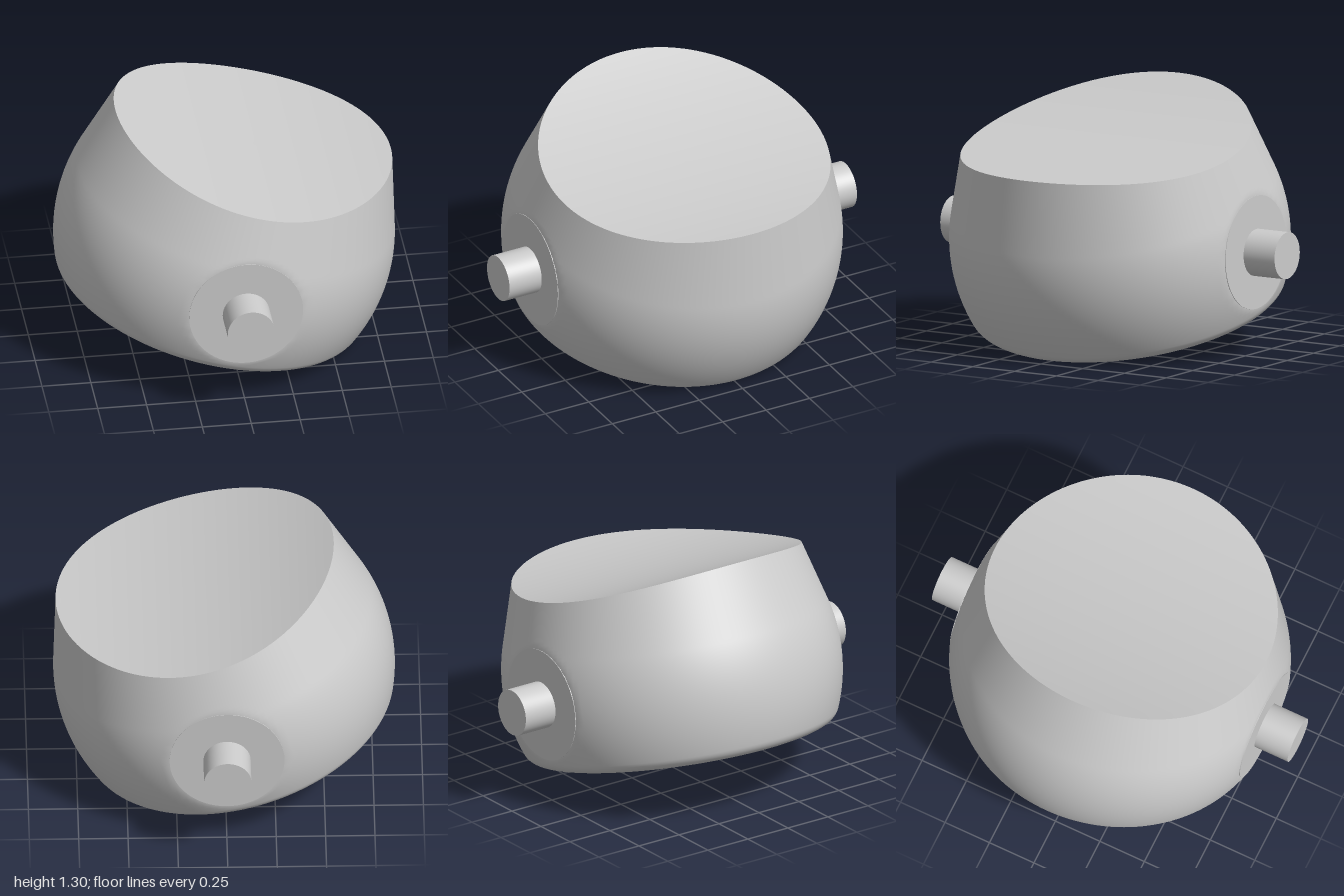
import * as THREE from 'three';

const R = 0.865, CENTRE = new THREE.Vector3(0, 0.54, 0);
const TILT = 0.25;                 // lean of the body axis towards +x
const TAPER = 0.28;                // half angle of the cone above the ball
const BASE = 0.367, FILLET = 0.08; // depth of the flat base and its rounded edge
const FLAT = 0.815;                // z of the flats carrying the pins
const COLS = 160;

const axis = new THREE.Vector3(Math.sin(TILT), Math.cos(TILT), 0);
const side = new THREE.Vector3(Math.cos(TILT), -Math.sin(TILT), 0);

// Point at a given radius and height around the tilted axis
function around(r, h, phi) {
  const p = CENTRE.clone().addScaledVector(axis, h).addScaledVector(side, r * Math.cos(phi));
  p.z += r * Math.sin(phi);
  return p;
}

// Height of the hollow cylindrical cut across the top
const cutY = (x) => 0.955 + 3.015 - Math.sqrt(3.015 ** 2 - (x - 0.85) ** 2);

// Point on the cone, s being the distance from where it leaves the ball
const onCone = (s, phi) => around(
  R * Math.cos(TAPER) - s * Math.sin(TAPER), R * Math.sin(TAPER) + s * Math.cos(TAPER), phi);

// Length of the cone line up to the cut
function coneLength(phi) {
  let lo = 0, hi = 1.2;
  for (let i = 0; i < 40; i++) {
    const mid = (lo + hi) / 2, p = onCone(mid, phi);
    if (p.y < cutY(p.x)) lo = mid; else hi = mid;
  }
  return lo;
}

// Closed-around surface from rows of points
function loft(rows, pointAt) {
  const pos = [], idx = [];
  for (let i = 0; i <= rows; i++)
    for (let j = 0; j < COLS; j++) pos.push(...pointAt(i, (j / COLS) * Math.PI * 2).toArray());
  for (let i = 0; i < rows; i++)
    for (let j = 0; j < COLS; j++) {
      const k = (j + 1) % COLS, a = i * COLS, b = a + COLS;
      idx.push(a + j, b + j, a + k, b + j, b + k, a + k);
    }
  const g = new THREE.BufferGeometry();
  g.setAttribute('position', new THREE.Float32BufferAttribute(pos, 3));
  g.setIndex(idx);
  g.computeVertexNormals();
  return g;
}

export function createModel() {
  const group = new THREE.Group();
  const material = new THREE.MeshStandardMaterial({ color: 0xcccccc });
  const add = (name, geometry) => {
    const mesh = new THREE.Mesh(geometry, material);
    mesh.name = name;
    group.add(mesh);
    return mesh;
  };

  // Base, rounded edge and ball as a profile of [radius, height]
  const fh = FILLET - BASE;
  const fr = Math.sqrt((R - FILLET) ** 2 - fh ** 2);
  const start = Math.atan2(fh, fr);
  const profile = [[0, -BASE], [fr * 0.5, -BASE], [fr * 0.97, -BASE]];
  for (let i = 0; i <= 10; i++) {
    const a = THREE.MathUtils.lerp(-Math.PI / 2, start, i / 10);
    profile.push([fr + FILLET * Math.cos(a), fh + FILLET * Math.sin(a)]);
  }
  for (let i = 1; i <= 32; i++) {
    const a = THREE.MathUtils.lerp(start, TAPER, i / 32);
    profile.push([R * Math.cos(a), R * Math.sin(a)]);
  }

  // Outer body: profile, then the cone up to the cut, trimmed by the side flats
  const last = profile.length - 1, coneRows = 16;
  add('body', loft(last + coneRows, (i, phi) => {
    const p = i <= last
      ? around(...profile[i], phi)
      : onCone(coneLength(phi) * (i - last) / coneRows, phi);
    p.z = THREE.MathUtils.clamp(p.z, 0.002 - FLAT, FLAT - 0.002);
    return p;
  }));

  // Hollow top face
  add('topFace', loft(20, (i, phi) => {
    const p = onCone(coneLength(phi), phi), k = 1 - i / 20;
    p.x = 0.145 + (p.x - 0.145) * k;
    p.z *= k;
    p.y = cutY(p.x);
    return p;
  }));

  // Side flats and pivot pins, front and back
  for (const s of [1, -1]) {
    const name = s > 0 ? 'front' : 'back';
    const disc = (part, radius, from, to) => {
      const g = new THREE.CylinderGeometry(radius, radius, to - from, 64).rotateX(Math.PI / 2);
      add(name + part, g).position.set(0, CENTRE.y, s * (from + to) / 2);
    };
    disc('Flat', 0.291, 0.78, FLAT);
    disc('Pin', 0.12, 0.78, 1);
  }
  return group;
}
